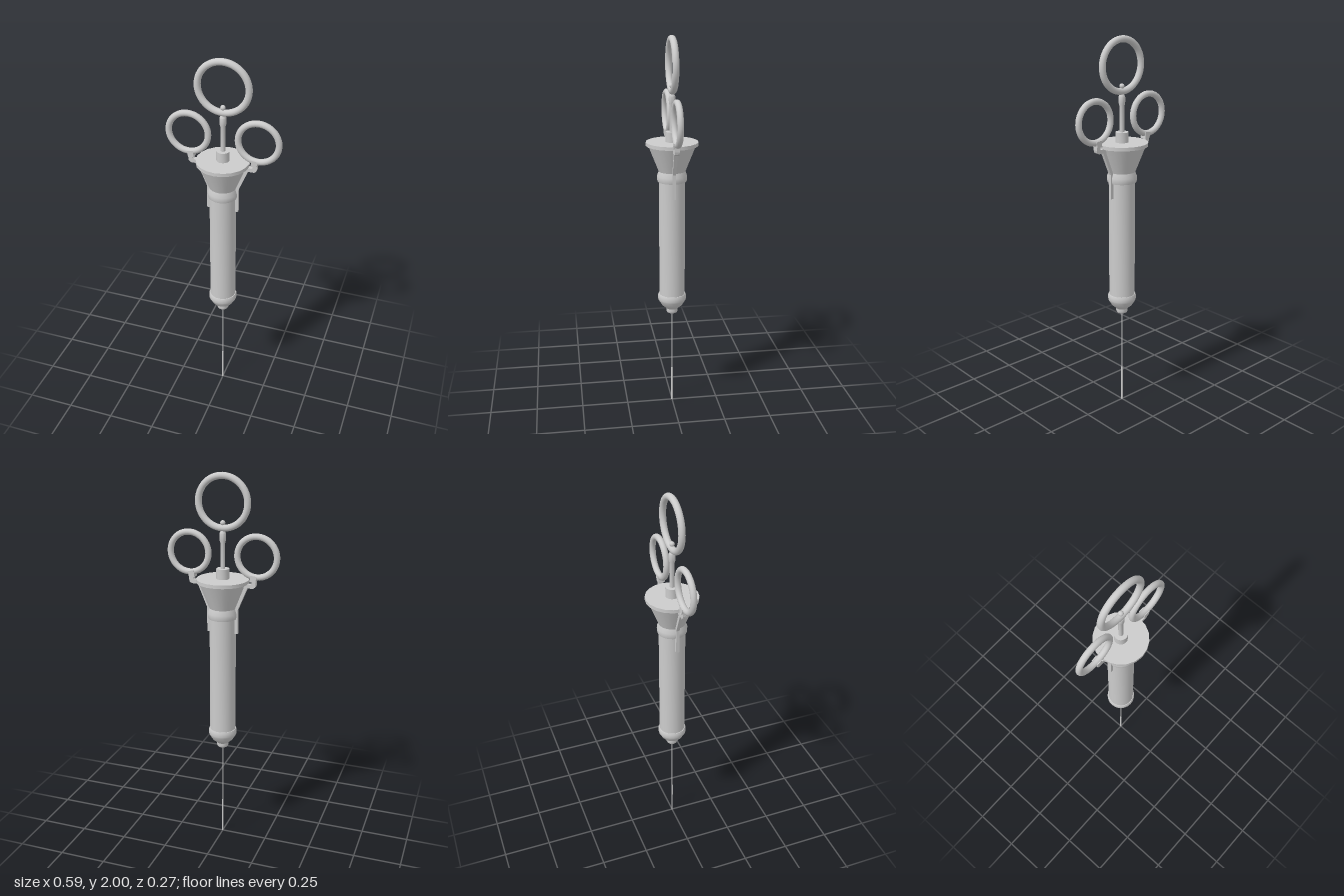
import * as THREE from 'three';
import { toCreasedNormals } from 'three/addons/utils/BufferGeometryUtils.js';

const material = new THREE.MeshStandardMaterial({ color: 0xcccccc, side: THREE.DoubleSide });

function add(parent, name, geometry, x = 0, y = 0, z = 0) {
  const mesh = new THREE.Mesh(geometry, material);
  mesh.name = name;
  mesh.position.set(x, y, z);
  parent.add(mesh);
  return mesh;
}

// Turned part from [radius, height] pairs, listed bottom to top
function turned(parent, name, profile, sides = 20) {
  const points = profile.map(([r, y]) => new THREE.Vector2(r, y));
  return add(parent, name, toCreasedNormals(new THREE.LatheGeometry(points, sides), 0.5));
}

// Flat part from an x/y outline, centred on z = 0
function plate(parent, name, outline, width) {
  const shape = new THREE.Shape(outline.map(([x, y]) => new THREE.Vector2(x, y)));
  const geometry = new THREE.ExtrudeGeometry(shape, { depth: width, bevelEnabled: false });
  return add(parent, name, geometry.translate(0, 0, -width / 2));
}

export function createModel() {
  const model = new THREE.Group();
  model.name = 'ringHandledSyringe';

  // Needle with its slightly thicker lower end
  turned(model, 'needle', [[0, 0.18], [0.003, 0.18], [0.003, 0.55], [0, 0.55]], 8);
  turned(model, 'needleTip', [[0, 0], [0.0045, 0], [0.0045, 0.2], [0, 0.2]], 8);

  // Nozzle and barrel
  turned(model, 'nozzle', [
    [0, 0.538], [0.027, 0.538], [0.031, 0.546], [0.031, 0.562], [0.043, 0.573],
    [0.055, 0.583], [0.073, 0.612], [0.075, 0.62], [0.075, 0.638], [0.071, 0.648], [0.066, 0.648],
  ], 24);
  turned(model, 'barrel', [[0.068, 0.64], [0.068, 1.28]], 24);

  // Collar, flared head and top plate
  turned(model, 'collar', [
    [0.067, 1.268], [0.074, 1.268], [0.077, 1.278], [0.077, 1.298], [0.07, 1.318], [0.068, 1.328],
  ], 24);
  turned(model, 'flare', [[0.068, 1.32], [0.074, 1.335], [0.122, 1.457]], 24);
  turned(model, 'topPlate', [[0, 1.456], [0.134, 1.456], [0.134, 1.474], [0, 1.474]]);
  turned(model, 'plungerBoss', [[0.033, 1.47], [0.033, 1.526], [0, 1.526]]);

  // Plunger rod with a bulged neck and end knob
  turned(model, 'plungerRod', [
    [0.012, 1.5], [0.012, 1.655], [0.016, 1.668], [0.017, 1.69], [0.016, 1.705],
    [0.009, 1.718], [0.008, 1.745], [0, 1.745],
  ], 16);
  add(model, 'plungerKnob', new THREE.SphereGeometry(0.013, 16, 10), 0, 1.755);
  add(model, 'thumbRing', new THREE.TorusGeometry(0.127, 0.017, 14, 48), 0, 1.856);

  // Finger rings with their brackets
  for (const [side, label] of [[1, 'left'], [-1, 'right']]) {
    const grip = new THREE.Group();
    grip.name = label + 'FingerGrip';
    grip.rotation.y = side > 0 ? 0 : Math.PI;
    model.add(grip);
    add(grip, 'fingerRing', new THREE.TorusGeometry(0.102, 0.016, 14, 40), 0.178, 1.597);
    plate(grip, 'ringSocket', [[0.146, 1.472], [0.176, 1.472], [0.182, 1.502], [0.15, 1.506]], 0.036);
    // Hook under the ring
    plate(grip, 'ringHook', [
      [0.11, 1.438], [0.163, 1.438], [0.174, 1.446], [0.177, 1.458], [0.177, 1.48],
      [0.154, 1.48], [0.154, 1.462], [0.15, 1.458], [0.11, 1.458],
    ], 0.024);
    // Strap running down the flare and along the barrel
    plate(grip, 'strap', [
      [0.066, 1.19], [0.082, 1.19], [0.082, 1.318], [0.134, 1.442],
      [0.134, 1.457], [0.115, 1.457], [0.066, 1.325],
    ], 0.017);
  }
  return model;
}
